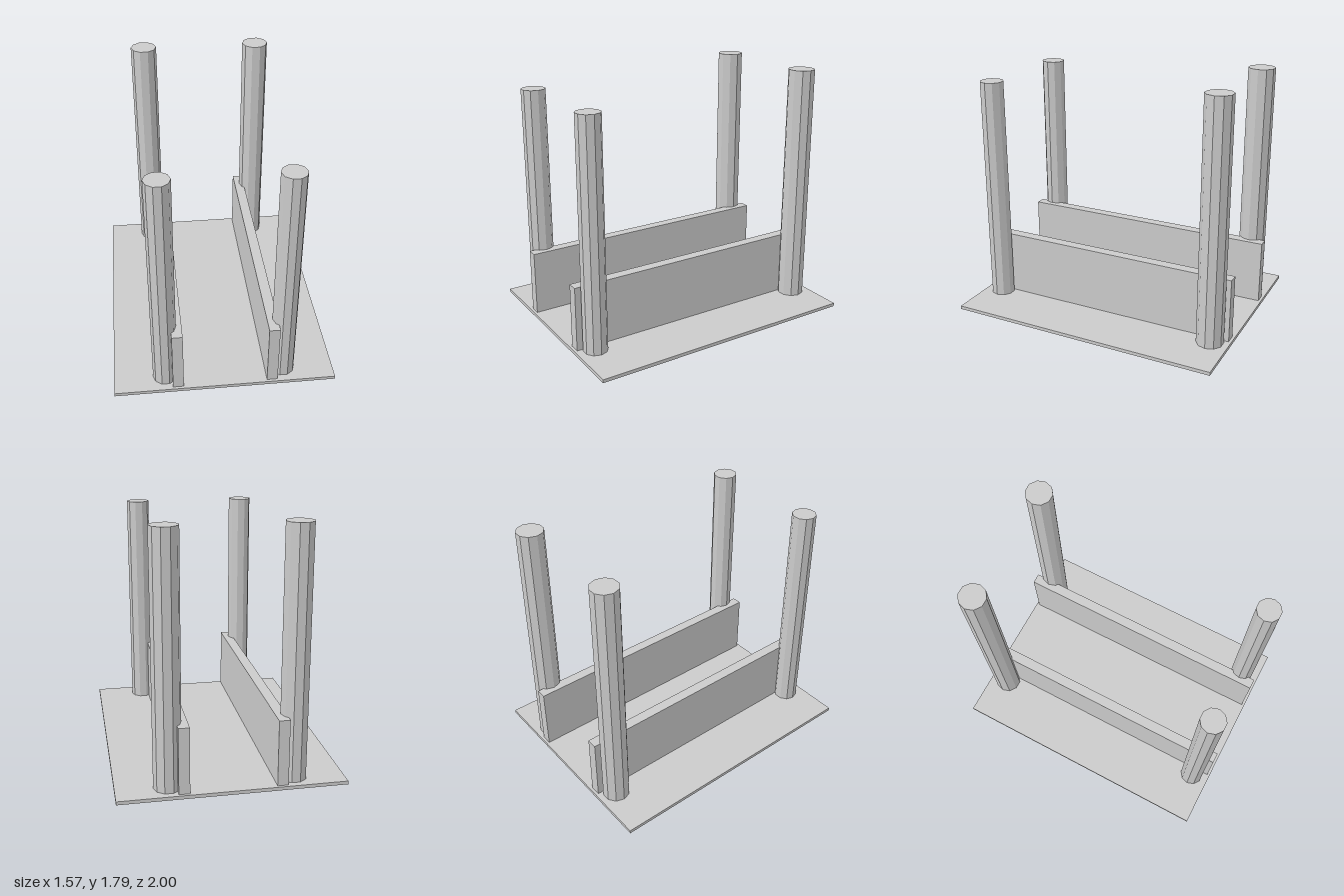
import * as THREE from 'three';

const PLATE_TOP = 0.025;

export function createModel() {
  const model = new THREE.Group();
  const material = new THREE.MeshStandardMaterial({ color: 0xcccccc, flatShading: true });

  // Places a mesh so that its underside rests at height y
  function add(name, geometry, height, x, y, z) {
    const mesh = new THREE.Mesh(geometry, material);
    mesh.name = name;
    mesh.position.set(x, y + height / 2, z);
    model.add(mesh);
  }

  // Ten-sided post with corners on the x axis
  function addPost(name, radius, top, x, z) {
    const height = top - PLATE_TOP;
    const geometry = new THREE.CylinderGeometry(radius, radius, height, 10);
    geometry.rotateY(Math.PI / 2);
    add(name, geometry, height, x, PLATE_TOP, z);
  }

  // Thin base plate
  add('basePlate', new THREE.BoxGeometry(1.57, PLATE_TOP, 2), PLATE_TOP, 0, 0, 0);

  for (const [side, s] of [['left', 1], ['right', -1]]) {
    // Long upright board
    const boardHeight = 0.495 - PLATE_TOP;
    add(`${side}Board`, new THREE.BoxGeometry(0.076, boardHeight, 1.96), boardHeight, s * 0.334, PLATE_TOP, 0);

    // Shorter, thinner front post and taller back post
    addPost(`${side}FrontPost`, 0.087, 1.69, s * 0.421, 0.863);
    addPost(`${side}BackPost`, 0.097, 1.79, s * 0.431, -0.863);
  }

  return model;
}
